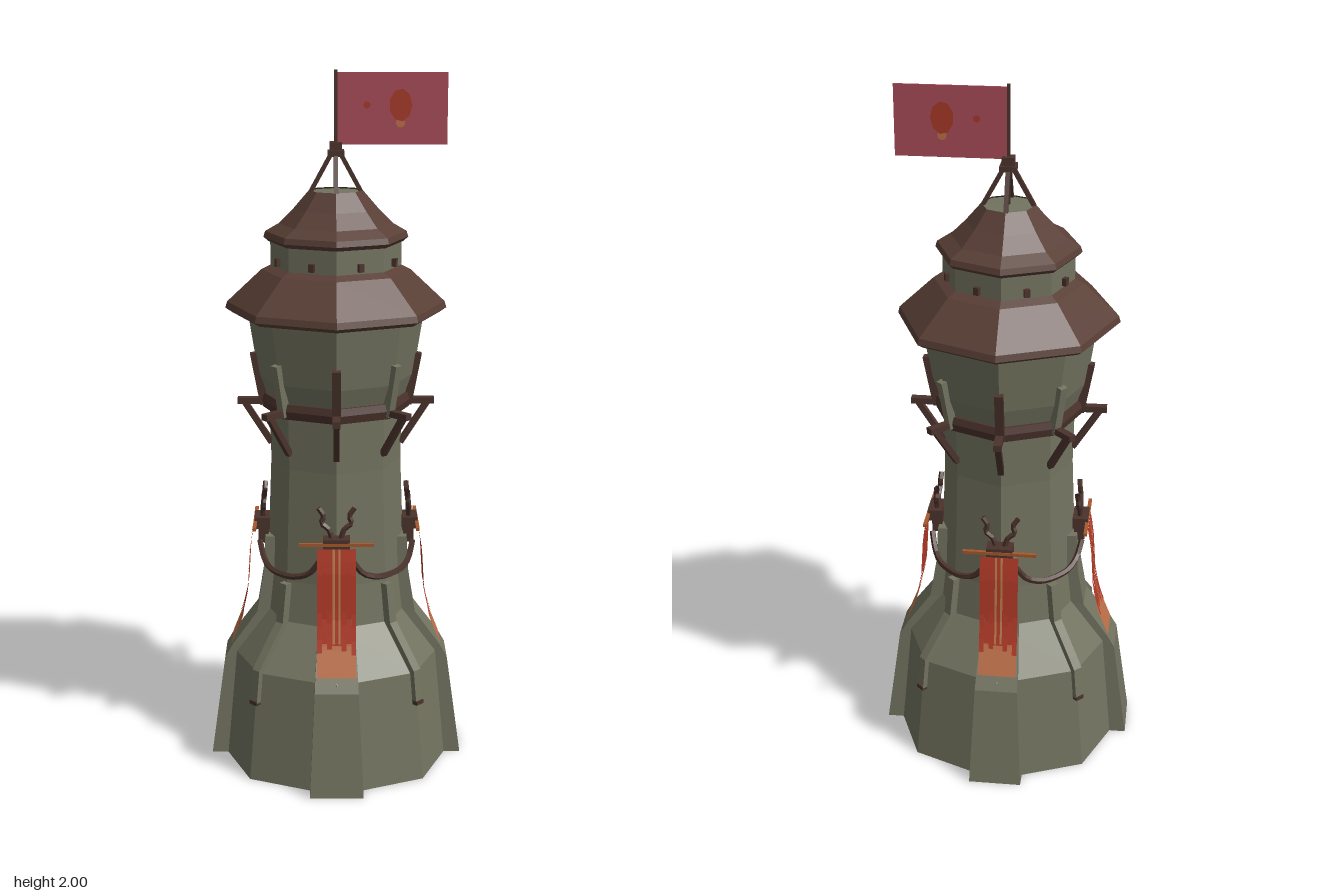
import * as THREE from 'three';

const mat = (name, color) => {
  const m = new THREE.MeshStandardMaterial({ color, flatShading: true, side: THREE.DoubleSide });
  m.name = name;
  return m;
};

export function createModel() {
  const stone = mat('stone', 0x72735f);
  const roof = mat('roofShingle', 0x593f36);
  const wood = mat('darkWood', 0x4b332c);
  const red = mat('bannerRed', 0xb23a28);
  const orange = mat('bannerFringe', 0xbe7048);
  const tan = mat('bannerTrim', 0xb8804f);
  const flagRed = mat('flagRed', 0xaa4c58);
  const emblemRed = mat('emblemRed', 0xa83a28);
  const brass = mat('crossbarOrange', 0xa8582c);

  const model = new THREE.Group();
  model.name = 'watchtower';

  const add = (parent, name, geo, material) => {
    const m = new THREE.Mesh(geo, material);
    m.name = name;
    parent.add(m);
    return m;
  };
  const box = (parent, name, w, h, d, x, y, z, material) =>
    add(parent, name, new THREE.BoxGeometry(w, h, d).translate(x, y, z), material);
  // Eight-sided ring from [radius, height] pairs listed bottom to top
  const octagon = (name, pts, material) =>
    add(model, name, new THREE.LatheGeometry(pts.map(p => new THREE.Vector2(...p)), 8), material);
  // Square beam between two points
  const beam = (parent, name, a, b, t, material) => {
    const from = new THREE.Vector3(...a), to = new THREE.Vector3(...b);
    const m = add(parent, name, new THREE.BoxGeometry(t, t, from.distanceTo(to)), material);
    m.position.copy(from).add(to).multiplyScalar(0.5);
    m.quaternion.setFromUnitVectors(new THREE.Vector3(0, 0, 1), to.clone().sub(from).normalize());
    return m;
  };
  const tube = (parent, name, pts, r, material, n = 10) =>
    add(parent, name, new THREE.TubeGeometry(
      new THREE.CatmullRomCurve3(pts.map(p => new THREE.Vector3(...p))), n, r, 5), material);
  // Rib hugging the wall: sections are [height, outer radius, half width]
  const rib = (sections, depth) => {
    const pos = [], idx = [];
    for (const [y, r, w] of sections) pos.push(w, y, r, -w, y, r, -w, y, r - depth, w, y, r - depth);
    const n = sections.length;
    for (let i = 0; i < n - 1; i++) for (let j = 0; j < 4; j++) {
      const a = i * 4 + j, b = i * 4 + (j + 1) % 4;
      idx.push(a, a + 4, b, b, a + 4, b + 4);
    }
    const t = (n - 1) * 4;
    idx.push(t, t + 2, t + 1, t, t + 3, t + 2);
    const g = new THREE.BufferGeometry();
    g.setAttribute('position', new THREE.Float32BufferAttribute(pos, 3));
    g.setIndex(idx);
    g.computeVertexNormals();
    return g;
  };
  // Group facing outward at k eighths of a turn
  const side = (name, k) => {
    const g = new THREE.Group();
    g.name = name;
    g.rotation.y = k * Math.PI / 4;
    model.add(g);
    return g;
  };

  // Hollow tower wall, open at the bottom
  octagon('towerWall', [[0.354, 0], [0.318, 0.32], [0.215, 0.45], [0.2, 0.57],
    [0.187, 0.9], [0.19, 1.06], [0.222, 1.15], [0.25, 1.33], [0.2, 1.34]], stone);
  octagon('balconyRing', [[0.185, 1.052], [0.21, 1.052], [0.216, 1.075], [0.21, 1.095], [0.185, 1.095]], wood);
  octagon('lowerRoof', [[0.22, 1.345], [0.295, 1.328], [0.313, 1.34], [0.308, 1.358],
    [0.21, 1.45], [0.17, 1.47]], roof);
  octagon('upperWall', [[0.184, 1.45], [0.184, 1.54]], stone);
  octagon('upperRoof', [[0.16, 1.54], [0.19, 1.53], [0.203, 1.542], [0.198, 1.558],
    [0.16, 1.58], [0.118, 1.622], [0.075, 1.672]], roof);
  octagon('roofCap', [[0.076, 1.668], [0, 1.672]], stone);

  // Pegs on the faces of the upper wall
  for (let k = 0; k < 8; k++) {
    box(side('wallPeg', k + 0.5), 'peg', 0.016, 0.022, 0.02, 0, 1.48, 0.172, wood);
  }

  // Balcony brackets on all eight corners
  for (let k = 0; k < 8; k++) {
    const g = side('balconyBracket', k);
    beam(g, 'post', [0, 1.06, 0.205], [0, 1.21, 0.233], 0.024, k % 2 ? stone : wood);
    box(g, 'arm', 0.022, 0.018, 0.12, 0, 1.07, 0.222, wood);
    beam(g, 'strut', [0, 1.065, 0.262], [0, 0.945, 0.186], 0.017, wood);
  }

  // Vertical position to outward distance of the hanging cloth
  const hang = [[0.34, 0.308], [0.42, 0.276], [0.5, 0.257], [0.64, 0.248], [0.71, 0.236]];
  const drape = y => {
    let i = 0;
    while (i < 3 && y > hang[i + 1][0]) i++;
    const [a, b] = [hang[i], hang[i + 1]];
    return a[1] + (b[1] - a[1]) * (y - a[0]) / (b[0] - a[0]);
  };
  const cloth = (parent, name, x0, x1, y0, y1, lift, material) => {
    const g = new THREE.PlaneGeometry(x1 - x0, y1 - y0, 1, 8).translate((x0 + x1) / 2, (y0 + y1) / 2, 0);
    const p = g.attributes.position;
    for (let i = 0; i < p.count; i++) p.setZ(i, drape(p.getY(i)) + lift);
    g.computeVertexNormals();
    return add(parent, name, g, material);
  };
  const ragged = [0.405, 0.43, 0.415, 0.425, 0.425, 0.41, 0.43, 0.4];
  const buttress = rib([[0, 0.37, 0.076], [0.3, 0.328, 0.062], [0.34, 0.305, 0.06],
    [0.44, 0.232, 0.053], [0.56, 0.212, 0.048], [0.67, 0.206, 0.045]], 0.06);

  for (let k = 0; k < 8; k += 2) {
    add(side('buttress', k), 'buttressRib', buttress, stone);

    // Banner with ragged fringe and centre trim
    const b = side('banner', k);
    cloth(b, 'bannerFringe', -0.055, 0.055, 0.34, 0.435, 0, orange);
    ragged.forEach((y, i) =>
      cloth(b, 'bannerCloth', -0.055 + i * 0.01375, -0.055 + (i + 1) * 0.01375, y, 0.7, 0.002, red));
    for (const s of [-1, 1]) cloth(b, 'bannerTrim', s * 0.008 - 0.003, s * 0.008 + 0.003, 0.43, 0.7, 0.004, tan);

    // Banner holder with horns
    const h = side('bannerHolder', k);
    box(h, 'holderBlock', 0.076, 0.034, 0.045, 0, 0.708, 0.215, wood);
    box(h, 'holderFoot', 0.04, 0.05, 0.03, 0, 0.67, 0.212, wood);
    box(h, 'crossbar', 0.21, 0.009, 0.01, 0, 0.711, 0.235, brass);
    for (const s of [-1, 1]) {
      tube(h, 'horn', [[s * 0.012, 0.72, 0.212], [s * 0.022, 0.75, 0.212],
        [s * 0.042, 0.768, 0.21], [s * 0.036, 0.788, 0.208], [s * 0.05, 0.81, 0.206]], 0.008, wood);
    }

    // Rope swag to the next holder
    tube(model, 'ropeSwag', [[0.045, 0.66, 0.222], [0.075, 0.618, 0.21], [0.115, 0.6, 0.19],
      [0.155, 0.595, 0.155], [0.19, 0.6, 0.115], [0.21, 0.618, 0.075], [0.222, 0.66, 0.045]]
      .map(([x, y, z]) => [[x, y, z], [z, y, -x], [-x, y, -z], [-z, y, x]][k / 2]), 0.009, wood, 14);

    // Corner rib with wooden foot
    const c = side('cornerRib', k + 1);
    add(c, 'cornerRibBody', rib([[0.235, 0.337, 0.014], [0.33, 0.326, 0.014], [0.36, 0.303, 0.014],
      [0.45, 0.232, 0.014], [0.565, 0.217, 0.014]], 0.03), stone);
    box(c, 'cornerRibFoot', 0.028, 0.012, 0.032, 0, 0.234, 0.323, wood);
  }

  // Spire: four struts, square knob and pole
  for (let k = 0; k < 8; k += 2) {
    beam(side('spireStrut', k), 'strut', [0, 1.668, 0.07], [0, 1.785, 0.006], 0.012, wood);
  }
  box(model, 'spireKnob', 0.034, 0.04, 0.034, 0, 1.785, 0, wood);
  box(model, 'spireKnobBand', 0.046, 0.014, 0.046, 0, 1.775, 0, wood);
  box(model, 'flagPole', 0.009, 0.33, 0.009, 0, 1.835, 0, wood);

  // Flag with a painted blot on both faces
  box(model, 'flag', 0.303, 0.196, 0.004, 0.156, 1.895, 0, flagRed);
  for (const s of [-1, 1]) {
    const blot = (name, r, sy, x, y, m) =>
      add(model, name, new THREE.CircleGeometry(r, 9).scale(1, sy, 1).translate(x, y, s * 0.004), m);
    blot('flagBlot', 0.032, 1.4, 0.178, 1.905, emblemRed);
    blot('flagBlotFoot', 0.013, 1, 0.178, 1.857, orange);
    blot('flagSpot', 0.01, 1, 0.085, 1.905, emblemRed);
  }
  return model;
}
